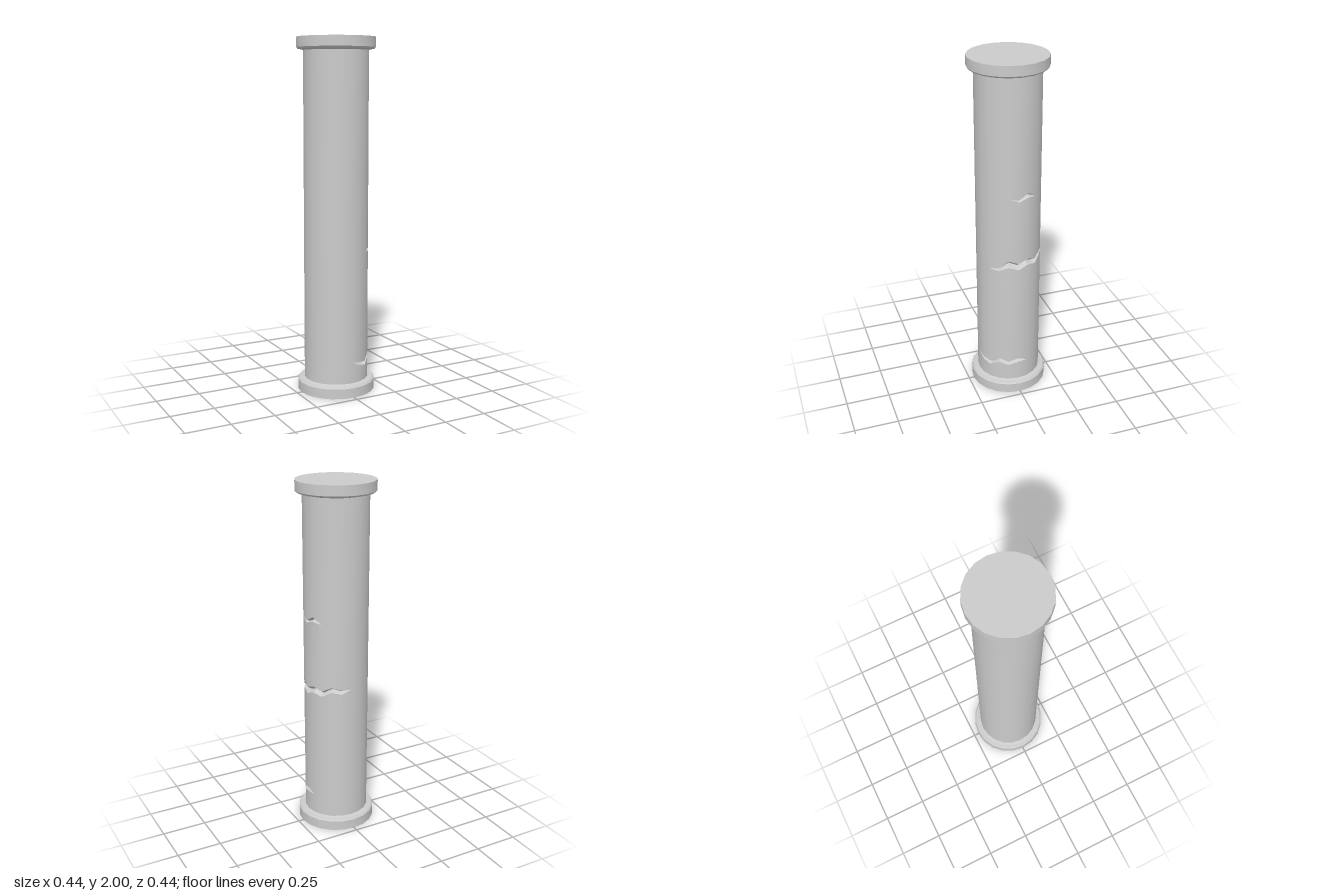
import * as THREE from 'three';
import { toCreasedNormals } from 'three/addons/utils/BufferGeometryUtils.js';

const SIDES = 20;
const RADIUS = 0.183;
const DEPTH = 0.027;
const CREASE = 0.5;

// Each crack runs round the shaft one side at a time, from side `from` downwards:
// [lower lip, upper lip] heights. Side 0 faces +x, side 5 faces +z.
const CRACKS = [
  { from: 5, lips: [[0.196, 0.196], [0.168, 0.184], [0.155, 0.178], [0.188, 0.216], [0.17, 0.194], [0.187, 0.212], [0.187, 0.187]] },
  { from: 3, lips: [[0.815, 0.815], [0.81, 0.827], [0.833, 0.875], [0.813, 0.853], [0.835, 0.872], [0.822, 0.853], [0.852, 0.88], [0.84, 0.865], [0.865, 0.865]] },
  { from: 1, lips: [[1.257, 1.257], [1.232, 1.246], [1.25, 1.277], [1.243, 1.243]] },
];

// Heights and radii of one vertical edge of the shaft, with a V notch at each crack
function shaftEdge(k) {
  const rows = [[RADIUS, 0.05]];
  for (const { from, lips } of CRACKS) {
    const i = (from - k + SIDES) % SIDES;
    const [lo, hi] = lips[i] ?? [lips[0][0], lips[0][0]];
    const inner = hi > lo ? RADIUS - DEPTH : RADIUS;
    rows.push([RADIUS, lo], [inner, (lo + hi) / 2], [RADIUS, hi]);
  }
  rows.push([RADIUS, 1.95]);
  const a = (k / SIDES) * Math.PI * 2;
  return rows.map(([r, y]) => new THREE.Vector3(r * Math.cos(a), y, r * Math.sin(a)));
}

function shaftGeometry() {
  const positions = [];
  const triangle = (a, b, c) => {
    // closed parts of a crack have no area
    if (new THREE.Triangle(a, b, c).getArea() < 1e-7) return;
    for (const p of [a, b, c]) positions.push(p.x, p.y, p.z);
  };
  for (let k = 0; k < SIDES; k++) {
    const right = shaftEdge(k);
    const left = shaftEdge((k + 1) % SIDES);
    for (let j = 0; j < right.length - 1; j++) {
      triangle(left[j], right[j], right[j + 1]);
      triangle(left[j], right[j + 1], left[j + 1]);
    }
  }
  const geometry = new THREE.BufferGeometry();
  geometry.setAttribute('position', new THREE.Float32BufferAttribute(positions, 3));
  return toCreasedNormals(geometry, CREASE);
}

// Round slab with a chamfered rim and a small step up to the shaft
function slabGeometry() {
  const profile = [
    [0, 0], [0.221, 0], [0.221, 0.056], [0.213, 0.065],
    [0.197, 0.065], [0.182, 0.072],
  ].map(([r, y]) => new THREE.Vector2(r, y));
  return toCreasedNormals(new THREE.LatheGeometry(profile, SIDES), CREASE);
}

export function createModel() {
  const column = new THREE.Group();
  column.name = 'crackedColumn';
  const material = new THREE.MeshStandardMaterial({ color: 0xcccccc });

  const add = (name, geometry) => {
    const mesh = new THREE.Mesh(geometry, material);
    mesh.name = name;
    column.add(mesh);
    return mesh;
  };

  add('shaft', shaftGeometry());
  const slab = slabGeometry();
  add('base', slab);
  // The capital is the base turned upside down
  const capital = add('capital', slab);
  capital.rotation.x = Math.PI;
  capital.position.y = 2;

  return column;
}
